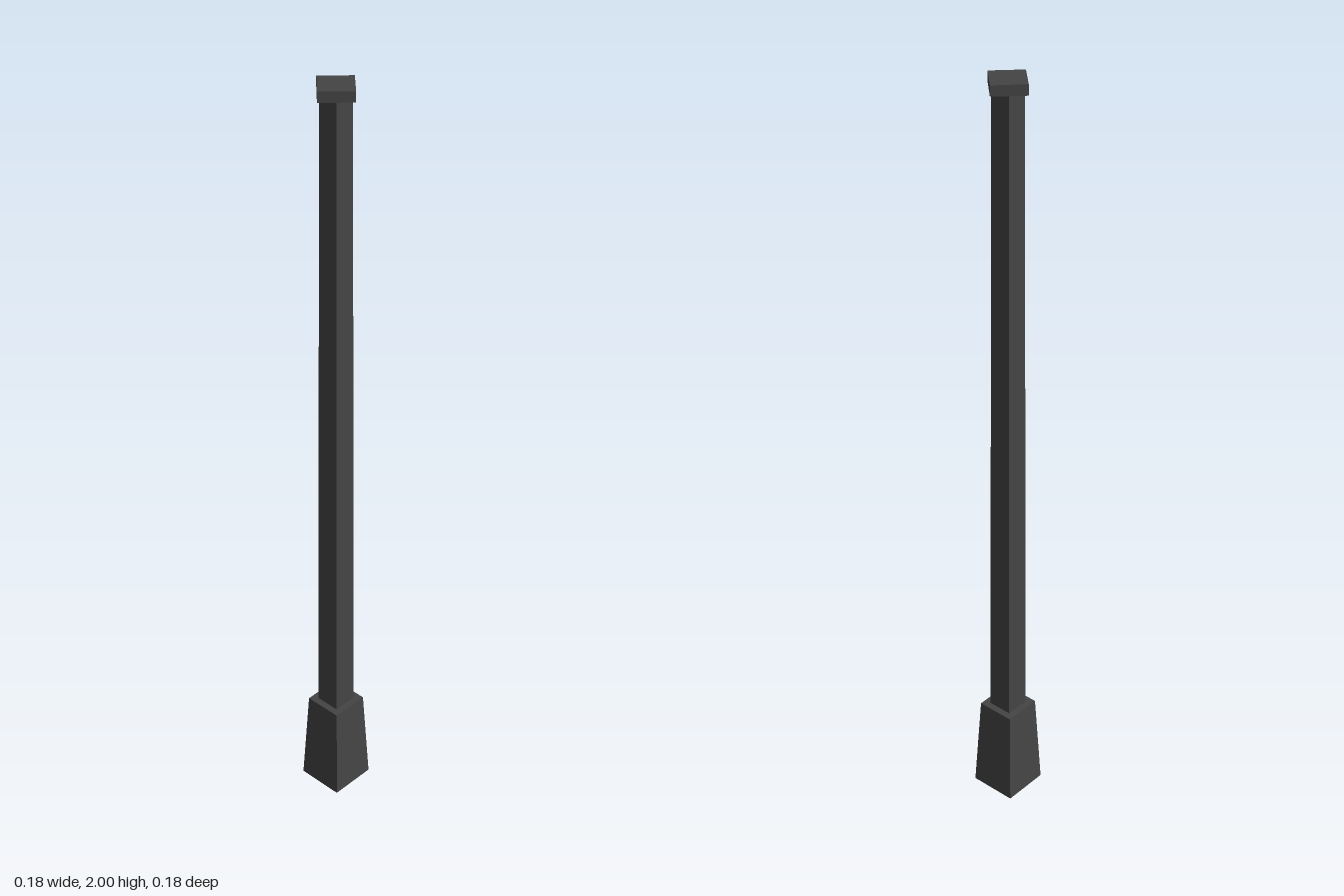
import * as THREE from 'three';

export function createModel() {
  const model = new THREE.Group();
  const iron = new THREE.MeshStandardMaterial({ color: 0x444444, flatShading: true });
  iron.name = 'dark iron';

  const add = (name, geometry, y) => {
    const mesh = new THREE.Mesh(geometry, iron);
    mesh.name = name;
    mesh.position.y = y;
    model.add(mesh);
  };

  // Four-sided tapered section between two heights, corners on the x and z axes
  const taper = (name, rBottom, rTop, y0, y1) =>
    add(name, new THREE.CylinderGeometry(rTop, rBottom, y1 - y0, 4), (y0 + y1) / 2);

  taper('base', 0.088, 0.071, 0, 0.258);
  taper('shaft', 0.046, 0.037, 0.25, 1.976);

  // Flat square cap, turned 45 degrees to the shaft
  add('cap', new THREE.BoxGeometry(0.084, 0.026, 0.084), 1.987);

  return model;
}
